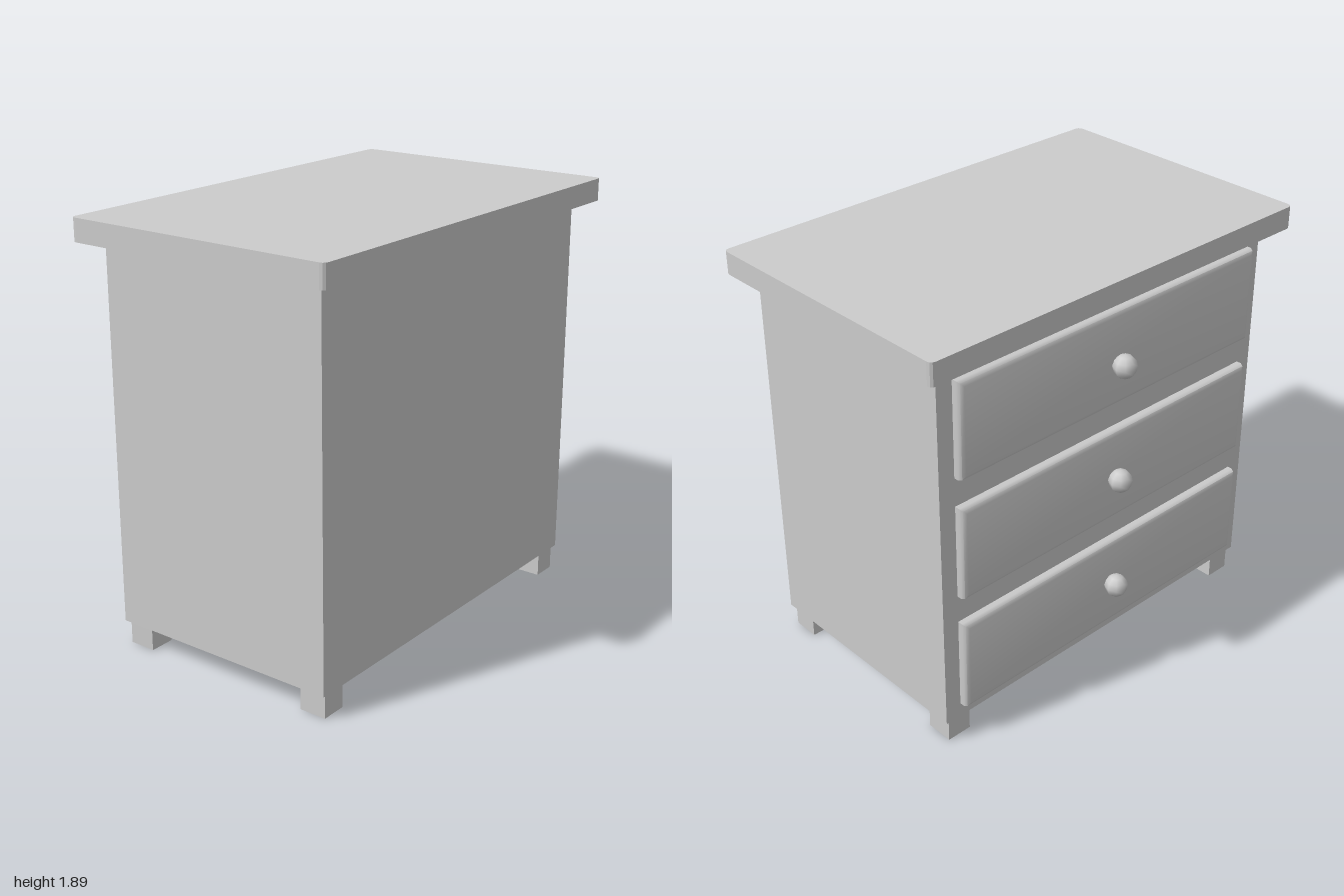
import * as THREE from 'three';
import { toCreasedNormals } from 'three/addons/utils/BufferGeometryUtils.js';

const material = new THREE.MeshStandardMaterial({ color: 0xcccccc });

function add(group, name, geometry, x, y, z) {
  const mesh = new THREE.Mesh(geometry, material);
  mesh.name = name;
  mesh.position.set(x, y, z);
  group.add(mesh);
  return mesh;
}

// Flat slab with small rounded vertical corners
function slabGeometry(w, h, d, r) {
  const x = w / 2, y = d / 2;
  const s = new THREE.Shape();
  s.moveTo(-x + r, -y);
  s.lineTo(x - r, -y).quadraticCurveTo(x, -y, x, -y + r);
  s.lineTo(x, y - r).quadraticCurveTo(x, y, x - r, y);
  s.lineTo(-x + r, y).quadraticCurveTo(-x, y, -x, y - r);
  s.lineTo(-x, -y + r).quadraticCurveTo(-x, -y, -x + r, -y);
  const g = new THREE.ExtrudeGeometry(s, { depth: h, bevelEnabled: false, curveSegments: 3 });
  return g.rotateX(-Math.PI / 2);
}

// Drawer panel: flat back at z = 0, softened edge towards -z
function drawerGeometry(w, h, d, bevel) {
  const x = w / 2 - bevel, y = h / 2 - bevel;
  const s = new THREE.Shape([[-x, -y], [x, -y], [x, y], [-x, y]].map(p => new THREE.Vector2(...p)));
  const g = new THREE.ExtrudeGeometry(s, {
    depth: d, bevelEnabled: true, bevelThickness: bevel, bevelSize: bevel, bevelSegments: 2,
  });
  // the rear bevel sits inside the cabinet
  g.translate(0, 0, -bevel).rotateY(Math.PI);
  g.translate(0, 0, bevel);
  return toCreasedNormals(g.translate(0, 0, -bevel), Math.PI / 3);
}

export function createModel() {
  const group = new THREE.Group();
  group.name = 'chestOfDrawers';

  // Cabinet and overhanging top
  add(group, 'cabinet', new THREE.BoxGeometry(1.814, 1.68, 1.09), 0, 0.95, 0.025);
  add(group, 'topBoard', slabGeometry(2, 0.1, 1.27, 0.025), 0, 1.79, 0.023);

  // Feet
  const foot = new THREE.BoxGeometry(0.115, 0.12, 0.123);
  for (const x of [-0.828, 0.828])
    for (const z of [-0.445, 0.497]) add(group, 'foot', foot, x, 0.06, z);

  // Drawers with round knobs, on the -z side
  const panel = drawerGeometry(1.66, 0.43, 0.045, 0.022);
  const knob = new THREE.SphereGeometry(0.052, 8, 6);
  for (const y of [0.392, 0.95, 1.51]) {
    add(group, 'drawerFront', panel, 0, y, -0.52);
  }
  for (const y of [0.405, 0.95, 1.495]) add(group, 'knob', knob, 0, y, -0.608);
  return group;
}
